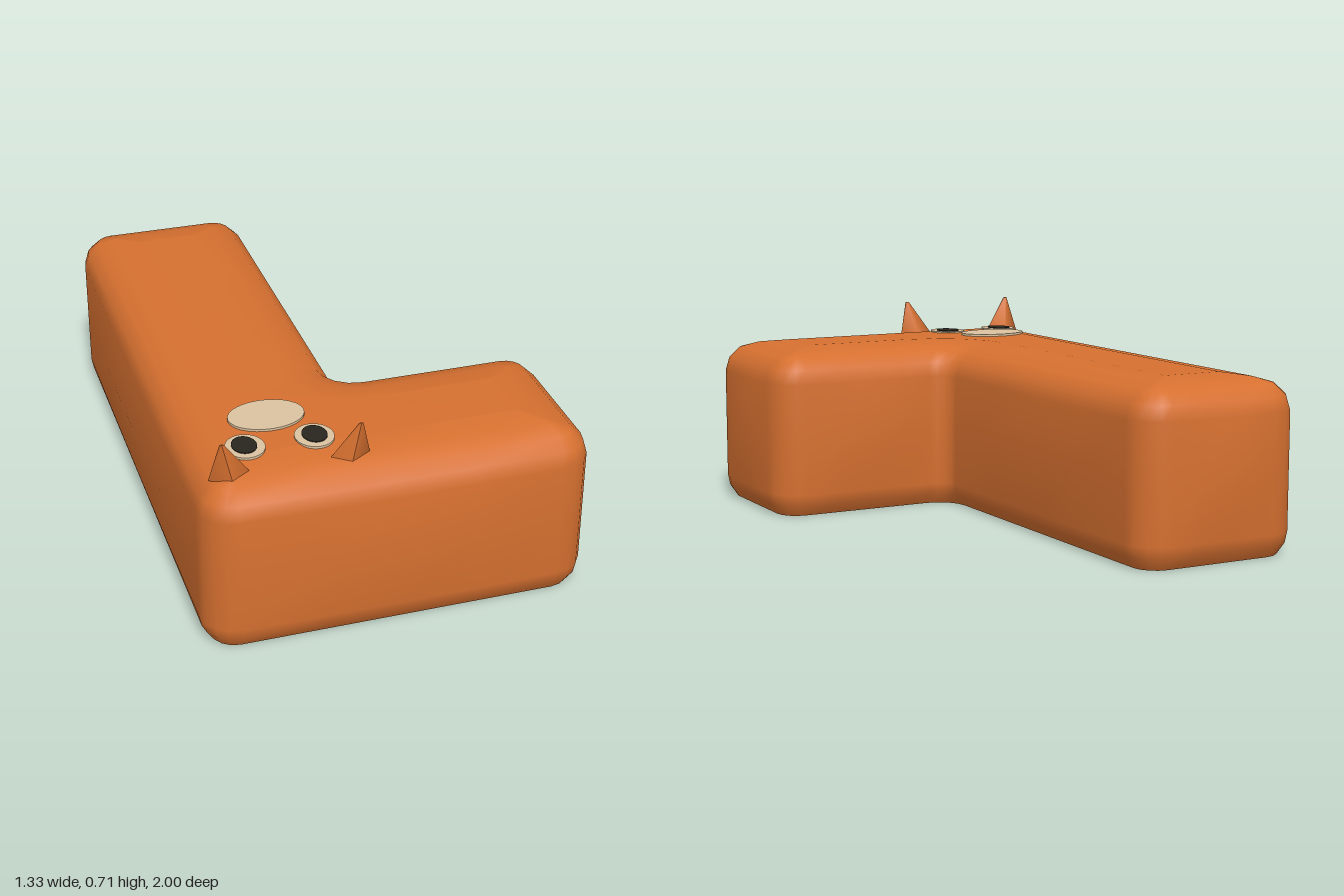
import * as THREE from 'three';

const mat = (name, color, side = THREE.FrontSide) => {
  const m = new THREE.MeshStandardMaterial({ color, side });
  m.name = name;
  return m;
};

// Plan corners: x, z, start angle of the outward normal, turn direction, radius
const CORNERS = [
  [0.64, 0.975, 0, 1, 0.115],
  [-0.645, 0.975, 90, 1, 0.115],
  [-0.645, -0.98, 180, 1, 0.115],
  [-0.03, -0.98, 270, 1, 0.115],
  [-0.03, 0.36, 0, -1, -0.07], // inner corner
  [0.64, 0.36, -90, 1, 0.115],
];

// Side profile: inset, height, bulge of the face middles
const PROFILE = [
  [0.035, 0, 0], [0.008, 0.04, 0], [0, 0.08, 0.003], [0, 0.28, 0.02], [0, 0.48, 0.003],
  [0.015, 0.53, 0], [0.055, 0.568, 0], [0.12, 0.587, 0], [0.2, 0.598, 0],
];

// L-shaped outline with rounded corners, moved inwards by d
function outline(d, bulge) {
  const normal = (deg) => new THREE.Vector2(Math.cos(deg * Math.PI / 180), Math.sin(deg * Math.PI / 180));
  const arcs = CORNERS.map(([x, z, start, turn, r]) => {
    const re = r > 0 ? Math.max(r - d, 0.01) : r - d;
    const sum = normal(start).add(normal(start + 90 * turn));
    const centre = new THREE.Vector2(x, z).addScaledVector(sum, -(d + re));
    return [0, 1, 2, 3, 4].map((k) => centre.clone().addScaledVector(normal(start + turn * 22.5 * k), re));
  });
  const points = [];
  arcs.forEach((arc, i) => {
    points.push(...arc);
    const next = arcs[(i + 1) % arcs.length][0];
    const out = normal(CORNERS[i][2] + 90 * CORNERS[i][3]);
    for (const t of [0.25, 0.5, 0.75]) {
      points.push(arc[4].clone().lerp(next, t).addScaledVector(out, bulge * 4 * t * (1 - t)));
    }
  });
  return points;
}

// Rings joined into walls, closed on top and open underneath
function bodyGeometry() {
  const rings = PROFILE.map(([d, , bulge]) => outline(d, bulge));
  const n = rings[0].length;
  const position = [];
  const index = [];
  rings.forEach((ring, i) => {
    ring.forEach((p, j) => {
      position.push(p.x, PROFILE[i][1], p.y);
      if (i === rings.length - 1) return;
      const k = (j + 1) % n;
      const a = i * n + j, b = i * n + k;
      index.push(a, a + n, b, b, a + n, b + n);
    });
  });
  const top = rings[rings.length - 1];
  const base = (rings.length - 1) * n;
  for (const [a, b, c] of THREE.ShapeUtils.triangulateShape(top.slice(), [])) {
    const ccw = THREE.ShapeUtils.area([top[a], top[b], top[c]]) > 0;
    index.push(base + a, base + (ccw ? c : b), base + (ccw ? b : c));
  }
  const geometry = new THREE.BufferGeometry();
  geometry.setAttribute('position', new THREE.Float32BufferAttribute(position, 3));
  geometry.setIndex(index);
  geometry.computeVertexNormals();
  return geometry;
}

// Four-sided pointed ear whose tip leans outwards and forwards
function earGeometry(side) {
  const height = 0.135;
  const geometry = new THREE.CylinderGeometry(0.007, 0.07, height, 4, 1);
  geometry.scale(1, 1, 0.47);
  geometry.translate(0, height / 2, 0);
  const p = geometry.attributes.position;
  for (let i = 0; i < p.count; i++) {
    const t = p.getY(i) / height;
    p.setX(i, p.getX(i) + side * 0.03 * t);
    p.setZ(i, p.getZ(i) + 0.024 * t);
  }
  geometry.computeVertexNormals();
  return geometry;
}

export function createModel() {
  const group = new THREE.Group();
  const orange = mat('orange fur', 0xd67030, THREE.DoubleSide);
  const cream = mat('cream', 0xdcc3a0);
  const dark = mat('dark pupil', 0x28261f);

  const add = (name, geometry, material, x, y, z) => {
    const mesh = new THREE.Mesh(geometry, material);
    mesh.name = name;
    mesh.position.set(x, y, z);
    group.add(mesh);
    return mesh;
  };
  // Thin oval plate lying on the top face
  const oval = (name, material, x, y, z, rx, rz) =>
    add(name, new THREE.CylinderGeometry(1, 1, 0.008, 28), material, x, y, z).scale.set(rx, 1, rz);

  add('body', bodyGeometry(), orange, 0, 0, 0);

  // Face, mirrored about its own middle line
  const middle = -0.34;
  oval('muzzle', cream, middle, 0.602, 0.58, 0.125, 0.09);
  for (const side of [-1, 1]) {
    const label = side > 0 ? 'left' : 'right';
    oval(label + 'Eye', cream, middle + side * 0.112, 0.599, 0.74, 0.063, 0.07);
    oval(label + 'Pupil', dark, middle + side * 0.114, 0.602, 0.735, 0.04, 0.05);
    add(label + 'Ear', earGeometry(side), orange, middle + side * 0.19, 0.572, 0.852);
  }
  return group;
}
